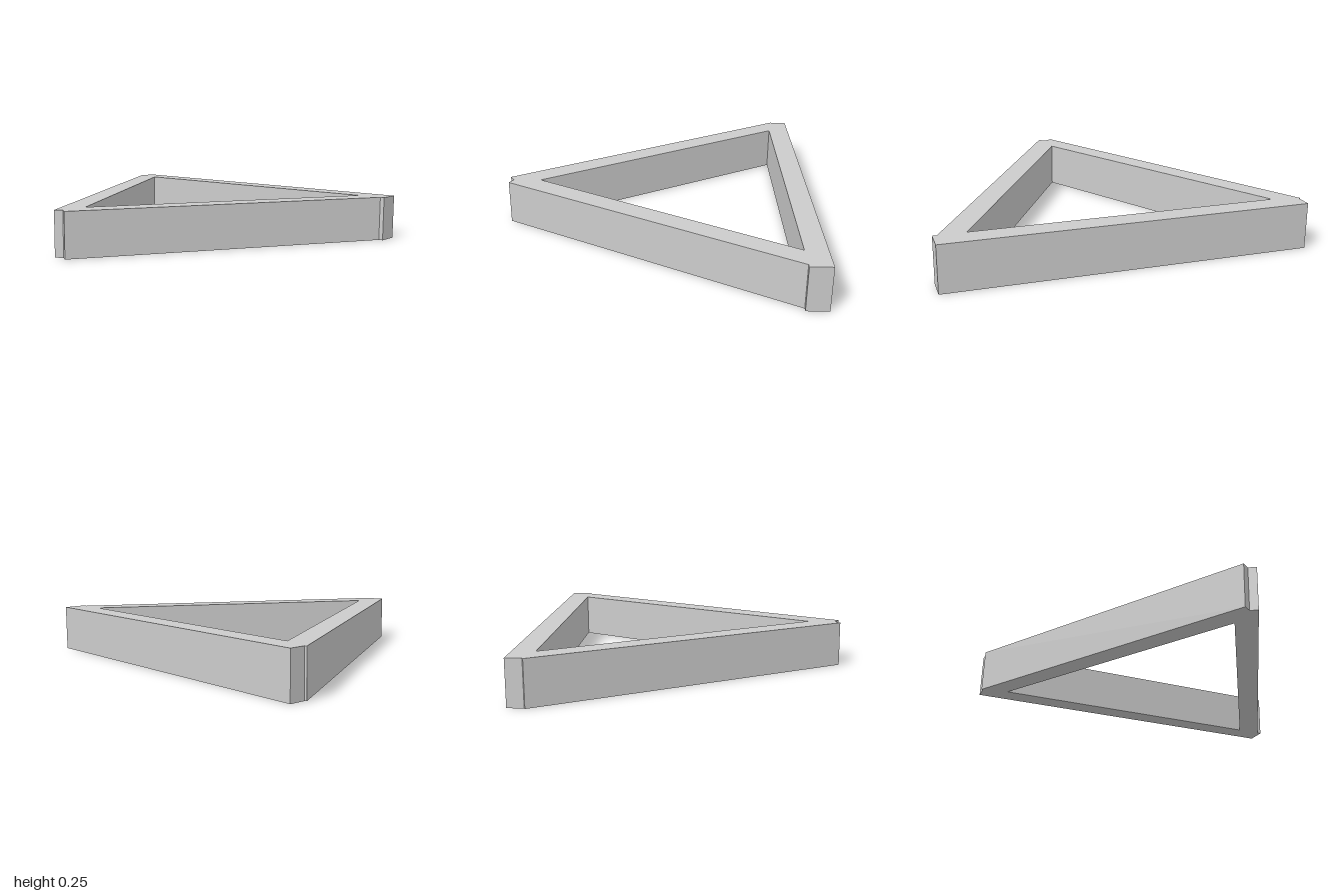
import * as THREE from 'three';

const HEIGHT = 0.255;
const toPoints = (list) => list.map(([x, z]) => new THREE.Vector2(x, z));

export function createModel() {
  const group = new THREE.Group();
  group.name = 'triangularFrame';

  // Plan outline (x, z): three bars joined with overlapping square-cut ends
  const plan = new THREE.Shape(toPoints([
    [-0.88, -0.045], [-0.854, -0.005], [-0.88, 0.035], // notched tip
    [0.755, 0.976], [0.755, 1], [0.88, 1],             // front corner
    [0.88, -0.99], [0.791, -0.99], [0.785, -1],        // back corner
  ]));

  // Triangular opening
  plan.holes.push(new THREE.Path(toPoints([[-0.695, -0.005], [0.755, -0.841], [0.755, 0.831]])));

  // Raise the plan into a wall standing on the ground
  const geometry = new THREE.ExtrudeGeometry(plan, { depth: HEIGHT, bevelEnabled: false });
  geometry.rotateX(Math.PI / 2).translate(0, HEIGHT, 0);

  const frame = new THREE.Mesh(
    geometry,
    new THREE.MeshStandardMaterial({ color: 0xcccccc, flatShading: true }),
  );
  frame.name = 'frame';
  group.add(frame);
  return group;
}
